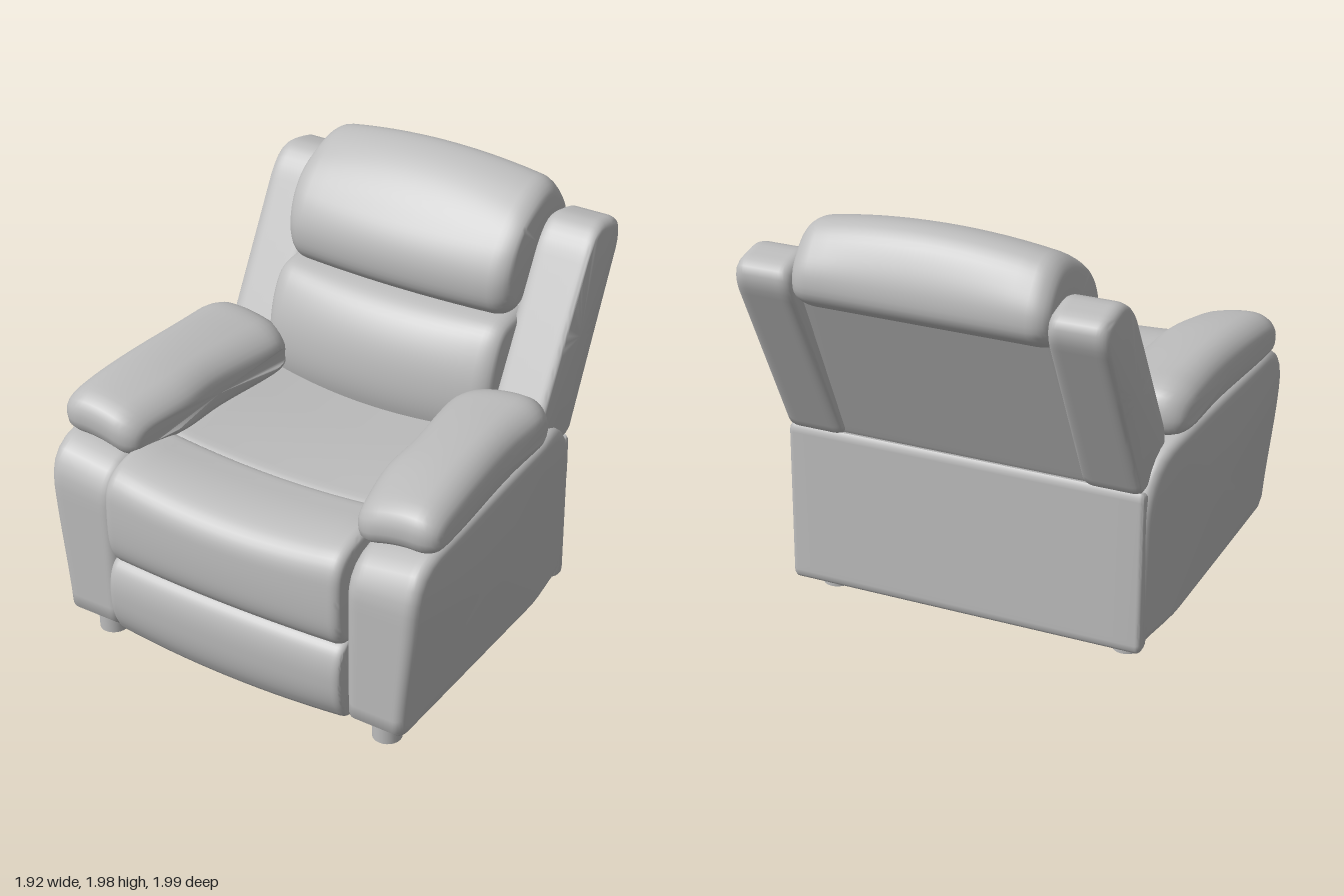
import * as THREE from 'three';
import { toCreasedNormals } from 'three/addons/utils/BufferGeometryUtils.js';

const upholstery = new THREE.MeshStandardMaterial({ color: 0xbcbcbc });
upholstery.name = 'grey upholstery';

// Closed side outline from corners [z, y, radius], drawn in (-z, y)
function outline(corners, count = 72) {
  const pts = corners.map(([z, y]) => new THREE.Vector2(-z, y));
  const shape = new THREE.Shape();
  const n = pts.length;
  pts.forEach((p, i) => {
    const r = corners[i][2] ?? 0.04;
    const toward = (q) => {
      const d = q.clone().sub(p);
      return p.clone().addScaledVector(d.normalize(), Math.min(r, 0.49 * p.distanceTo(q)));
    };
    const a = toward(pts[(i + n - 1) % n]);
    const b = toward(pts[(i + 1) % n]);
    if (i === 0) shape.moveTo(a.x, a.y);
    else shape.lineTo(a.x, a.y);
    shape.quadraticCurveTo(p.x, p.y, b.x, b.y);
  });
  shape.closePath();
  const out = shape.getSpacedPoints(count).slice(0, count);
  return THREE.ShapeUtils.isClockWise(out) ? out.reverse() : out;
}

// Padded solid: the outline swept from x0 to x1, its ends rounded over r and drawn in by inset
function padded(name, corners, x0, x1, r, { deform = () => {}, mirror = false, inset = r } = {}) {
  const ring = outline(corners);
  const box = new THREE.Box2().setFromPoints(ring);
  const c = box.getCenter(new THREE.Vector2());
  const half = box.getSize(new THREE.Vector2()).multiplyScalar(0.5);
  const stations = [];
  const steps = 6, mids = 14;
  for (let k = 0; k <= steps; k++) {
    const a = (k / steps) * Math.PI / 2;
    stations.push([x0 + r * (1 - Math.cos(a)), inset * (1 - Math.sin(a))]);
  }
  const tail = stations.map(([x, d]) => [x0 + x1 - x, d]).reverse();
  for (let k = 1; k < mids; k++) stations.push([x0 + r + (x1 - x0 - 2 * r) * k / mids, 0]);
  stations.push(...tail);

  const pos = [], idx = [], n = ring.length, v = new THREE.Vector3();
  const add = (x, u, y) => {
    v.set(x, y, -u);
    deform(v);
    pos.push(mirror ? -v.x : v.x, v.y, v.z);
  };
  const face = (a, b, d) => (mirror ? idx.push(a, d, b) : idx.push(a, b, d));
  for (const [x, d] of stations) {
    for (const p of ring) {
      add(x, c.x + (p.x - c.x) * (1 - d / half.x), c.y + (p.y - c.y) * (1 - d / half.y));
    }
  }
  const last = (stations.length - 1) * n, c0 = stations.length * n;
  add(x0, c.x, c.y);
  add(x1, c.x, c.y);
  for (let j = 0; j < n; j++) {
    const k = (j + 1) % n;
    for (let i = 0; i < last; i += n) {
      face(i + j, i + k, i + n + k);
      face(i + j, i + n + k, i + n + j);
    }
    face(c0, k, j);
    face(c0 + 1, last + j, last + k);
  }
  const geo = new THREE.BufferGeometry();
  geo.setAttribute('position', new THREE.Float32BufferAttribute(pos, 3));
  geo.setIndex(idx);
  const mesh = new THREE.Mesh(toCreasedNormals(geo, 0.9), upholstery);
  mesh.name = name;
  return mesh;
}

const smooth = THREE.MathUtils.smoothstep;

export function createModel() {
  const chair = new THREE.Group();
  chair.name = 'recliner';

  // Hidden frame and back panel
  chair.add(padded('baseFrame', [[0.88, 0.13, 0.02], [0.88, 0.8], [-0.54, 0.8], [-0.54, 0.13, 0.02]], -0.64, 0.64, 0.01));
  chair.add(padded('rearPanel',
    [[-0.5, 0.09, 0.03], [-0.5, 0.83, 0.02], [-0.575, 0.85, 0.02], [-0.59, 0.08, 0.03]], -0.845, 0.845, 0.025));

  // Seat cushion, front roll and footrest
  const sag = (v) => {
    const s = 1 - Math.min(1, (v.x / 0.55) ** 2);
    v.y -= 0.035 * s * smooth(v.y, 0.65, 0.95);
    v.z += 0.02 * (s - 1) * smooth(v.z, 0.6, 0.9);
  };
  chair.add(padded('seatCushion',
    [[0.56, 0.6], [0.56, 0.955, 0.07], [0.2, 0.96, 0.2], [-0.4, 0.93, 0.1], [-0.4, 0.6]],
    -0.6, 0.6, 0.05, { deform: sag }));
  chair.add(padded('seatFrontRoll',
    [[0.84, 0.48, 0.03], [0.945, 0.49, 0.04], [0.99, 0.57, 0.07], [1.0, 0.72, 0.12], [0.99, 0.93, 0.14],
      [0.8, 0.995, 0.16], [0.51, 0.97, 0.07], [0.51, 0.6, 0.08]], -0.605, 0.605, 0.05, { deform: sag, inset: 0.035 }));
  chair.add(padded('footrest',
    [[0.8, 0.1, 0.03], [0.92, 0.1, 0.04], [0.985, 0.22, 0.12], [0.995, 0.4, 0.08], [0.955, 0.495, 0.05],
      [0.86, 0.515, 0.03], [0.8, 0.5, 0.03]], -0.605, 0.605, 0.035, {
      inset: 0.02,
      deform: (v) => {
        v.y -= 0.02 * (1 - (v.x / 0.6) ** 2) * (1 - smooth(v.y, 0.1, 0.4));
        v.z -= 0.02 * (v.x / 0.6) ** 2;
      },
    }));

  // Backrest core, lumbar cushion and headrest
  chair.add(padded('backrestCore',
    [[-0.34, 0.8], [-0.72, 1.72], [-0.93, 1.72], [-0.535, 0.82, 0.02]], -0.6, 0.6, 0.02));
  chair.add(padded('lumbarCushion',
    [[-0.24, 0.82], [-0.185, 1.0, 0.12], [-0.21, 1.22, 0.14], [-0.32, 1.39, 0.14], [-0.48, 1.42, 0.08],
      [-0.68, 1.41], [-0.42, 0.82]], -0.59, 0.59, 0.08, {
      inset: 0.05,
      deform: (v) => { v.z -= 0.06 * (v.x / 0.59) ** 2 * smooth(v.z, -0.5, -0.2); },
    }));
  chair.add(padded('headrest',
    [[-0.48, 1.385, 0.06], [-0.37, 1.45, 0.09], [-0.36, 1.64, 0.12], [-0.54, 1.875, 0.16], [-0.72, 1.985, 0.12],
      [-0.88, 1.985, 0.12], [-0.99, 1.8, 0.12], [-1.0, 1.66, 0.06], [-0.93, 1.6, 0.05], [-0.7, 1.5, 0.06]],
    -0.58, 0.58, 0.09, {
      inset: 0.07,
      deform: (v) => {
        const e = (v.x / 0.58) ** 2;
        v.y -= 0.055 * e * smooth(v.y, 1.7, 1.95);
        v.z -= 0.04 * e * smooth(v.z, -0.6, -0.38);
      },
    }));

  // Parts repeated on both sides
  for (const [side, mirror] of [['left', false], ['right', true]]) {
    // Side panel, flaring outward toward the top and front
    chair.add(padded(side + 'SidePanel',
      [[0.915, 0.1, 0.04], [0.925, 0.99, 0.22], [0.3, 1.005, 0.2], [-0.56, 1.0, 0.32], [-0.56, 0.1, 0.03]],
      0.6, 0.9, 0.05, {
        mirror,
        deform: (v) => {
          const t = (v.x - 0.6) / 0.3;
          const flare = smooth(v.y, 0.0, 0.9) * (0.35 + 0.65 * smooth(v.z, -0.5, 0.8));
          v.x += t * (-0.02 + 0.068 * flare - 0.035 * (1 - smooth(v.z, -0.56, -0.2)));
          v.y -= 0.05 * (1 - t) * smooth(v.y, 0.6, 1);
        },
      }));

    // Armrest pad, drooping along its inner edge (x is its 0-1 width before shaping)
    chair.add(padded(side + 'ArmPad',
      [[0.8, 1.0, 0.06], [0.81, 1.18, 0.12], [0.55, 1.225, 0.2], [0.2, 1.24, 0.2], [-0.27, 1.22, 0.13],
        [-0.32, 1.1, 0.08], [-0.3, 1.0, 0.06]], 0, 1, 0.26, {
        mirror,
        inset: 0.07,
        deform: (v) => {
          const u = v.x;
          const tip = 1 - smooth(v.z, -0.32, -0.15);
          const inner = 0.45 + 0.05 * smooth(v.z, -0.2, 0.3) + 0.06 * smooth(v.z, 0.4, 0.8) + 0.03 * tip;
          const outer = 0.915 + 0.043 * smooth(v.z, 0, 0.75) - 0.025 * tip;
          v.x = inner + (outer - inner) * u;
          v.y -= 0.085 * (1 - u) ** 2 + 0.04 * u ** 4;
        },
      }));

    // Tilted backrest wing
    chair.add(padded(side + 'BackWing',
      [[-0.57, 0.83, 0.02], [-0.99, 1.68, 0.05], [-0.985, 1.765, 0.06], [-0.79, 1.805, 0.07], [-0.7, 1.73, 0.06],
        [-0.3, 1.02, 0.03], [-0.3, 0.85, 0.03]], 0.57, 0.835, 0.05, { mirror, inset: 0.04 }));

    // Feet
    for (const [end, x, z] of [['Front', 0.735, 0.785], ['Rear', 0.715, -0.405]]) {
      const foot = new THREE.Mesh(new THREE.CylinderGeometry(0.068, 0.066, 0.14, 24), upholstery);
      foot.name = side + end + 'Foot';
      foot.position.set(mirror ? -x : x, 0.07, z);
      chair.add(foot);
    }
  }
  return chair;
}
